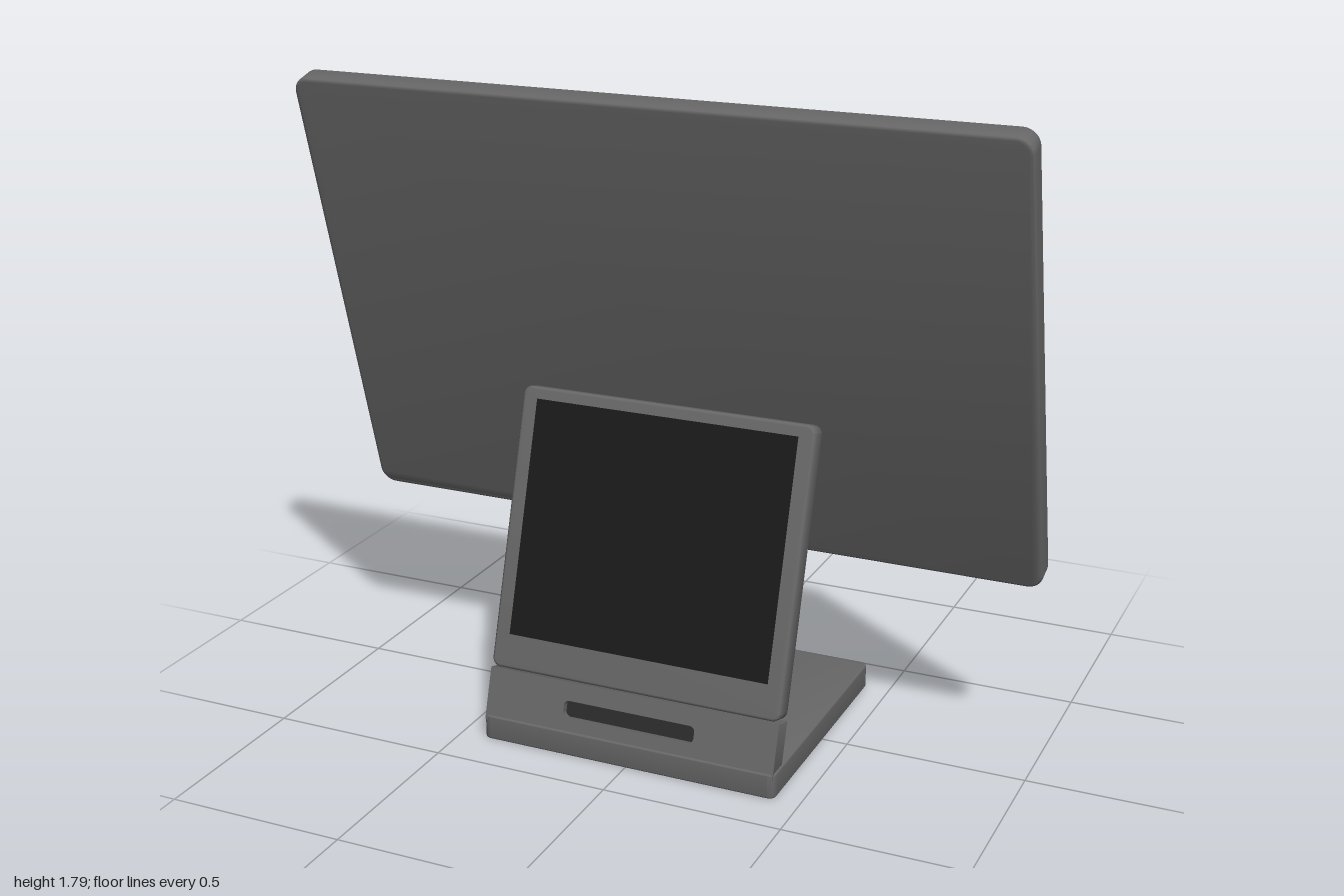
import * as THREE from 'three';
import { toCreasedNormals } from 'three/addons/utils/BufferGeometryUtils.js';

const bodyMat = new THREE.MeshStandardMaterial({ color: 0x666666 });
const glassMat = new THREE.MeshStandardMaterial({ color: 0x1a1a1a });
const slotMat = new THREE.MeshStandardMaterial({ color: 0x2b2b2b });

// Rounded rectangle outline, centred on the origin
function roundRect(w, h, r, Type = THREE.Shape) {
  const s = new Type(), x = w / 2, y = h / 2;
  s.moveTo(-x + r, -y);
  s.lineTo(x - r, -y);
  s.absarc(x - r, -y + r, r, -Math.PI / 2, 0);
  s.lineTo(x, y - r);
  s.absarc(x - r, y - r, r, 0, Math.PI / 2);
  s.lineTo(-x + r, y);
  s.absarc(-x + r, y - r, r, Math.PI / 2, Math.PI);
  s.lineTo(-x, -y + r);
  s.absarc(-x + r, -y + r, r, Math.PI, Math.PI * 1.5);
  return s;
}

// Plate centred on the origin, thickness along z, with softened edges
function plate(shape, depth, bevel) {
  const geo = new THREE.ExtrudeGeometry(shape, {
    depth: depth - 2 * bevel, curveSegments: 8, bevelEnabled: bevel > 0,
    bevelThickness: bevel, bevelSize: bevel, bevelOffset: -bevel, bevelSegments: 4,
  });
  geo.translate(0, 0, bevel - depth / 2);
  return toCreasedNormals(geo, 0.6);
}

function add(parent, name, geo, mat, x, y, z) {
  const mesh = new THREE.Mesh(geo, mat);
  mesh.name = name;
  mesh.position.set(x, y, z);
  parent.add(mesh);
  return mesh;
}

export function createModel() {
  const model = new THREE.Group();
  model.name = 'pointOfSaleTerminal';

  // Flat foot
  const base = add(model, 'base', plate(roundRect(0.86, 0.74, 0.02), 0.07, 0.005), bodyMat, 0, 0.035, 0);
  base.rotation.x = -Math.PI / 2;

  // Leaning stand: local y runs up its front face
  const stand = new THREE.Group();
  stand.name = 'stand';
  stand.position.set(0, 0.07, 0.365);
  stand.rotation.x = -0.299;
  model.add(stand);
  const t = 0.06;

  // Lower neck with a slot cut into it
  const neck = roundRect(0.85, 0.148, 0.002);
  const hole = roundRect(0.385, 0.046, 0.015, THREE.Path);
  neck.holes.push(hole);
  add(stand, 'standNeck', plate(neck, t, 0), bodyMat, 0, 0.06, -t / 2);
  add(stand, 'slotFloor', new THREE.BoxGeometry(0.4, 0.06, 0.035), slotMat, 0, 0.06, -0.038);
  add(stand, 'neckBack', new THREE.BoxGeometry(0.85, 0.148, 0.004), bodyMat, 0, 0.06, -t + 0.001);

  // Upper housing with the small display
  add(stand, 'customerHousing', plate(roundRect(0.85, 0.778, 0.025), t, 0.008), bodyMat, 0, 0.526, -t / 2);
  add(stand, 'customerScreen', new THREE.BoxGeometry(0.76, 0.65, 0.004), glassMat, 0, 0.557, 0);

  // Large tilted display, glass on its rear side
  const monitor = new THREE.Group();
  monitor.name = 'monitor';
  monitor.position.set(0, 1.155, 0.071);
  monitor.rotation.x = 0.27;
  model.add(monitor);
  add(monitor, 'monitorHousing', plate(roundRect(2, 1.3, 0.045), 0.065, 0.01), bodyMat, 0, 0, 0);
  add(monitor, 'monitorScreen', new THREE.BoxGeometry(1.81, 1.15, 0.004), glassMat, 0, 0, -0.0325);

  return model;
}
